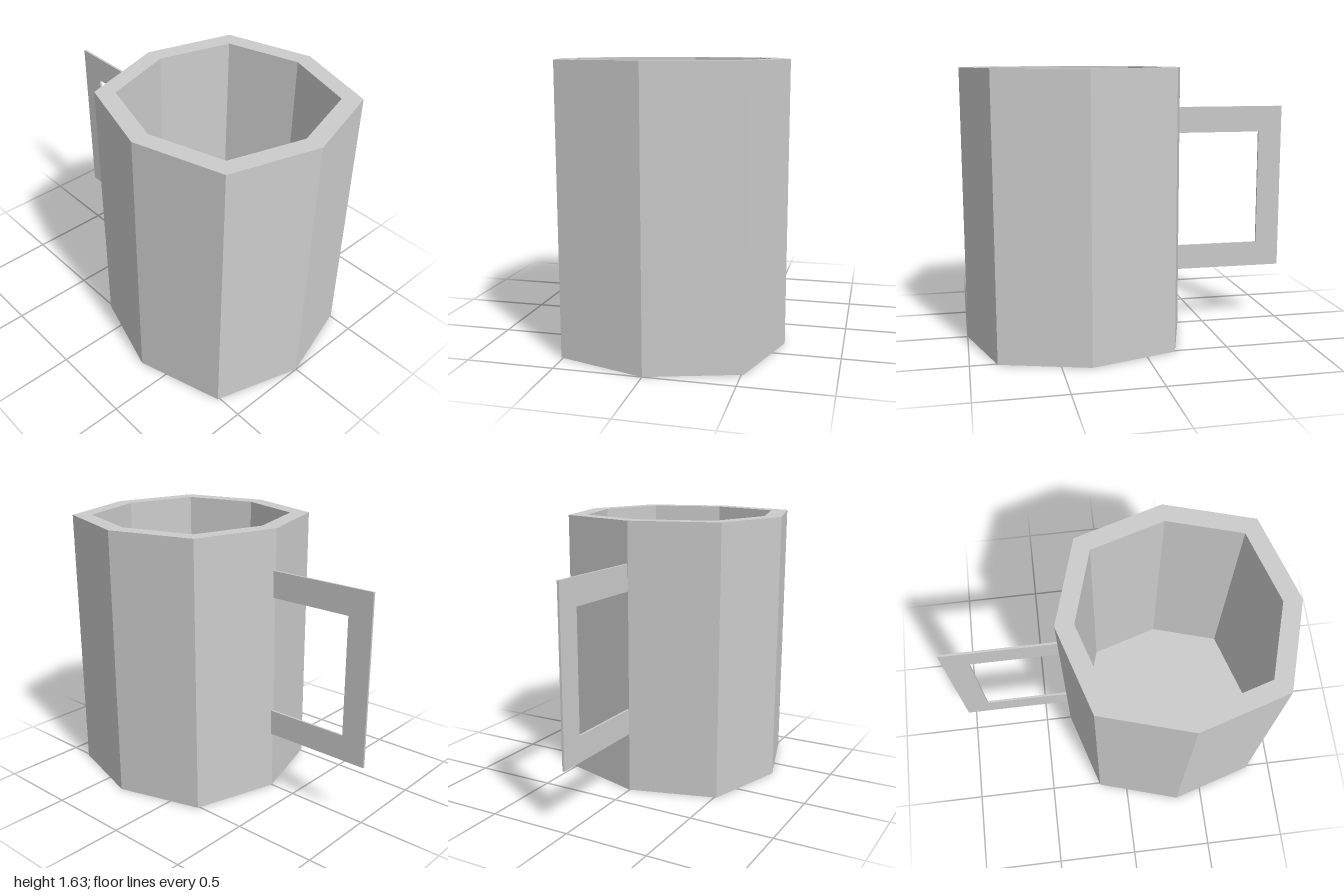
import * as THREE from 'three';

export function createModel() {
  const group = new THREE.Group();
  const material = new THREE.MeshStandardMaterial({ color: 0xcccccc, flatShading: true });

  // Eight-sided cup: outer wall, rim, inner wall and floor in one profile
  const H = 1.635, R = 0.667, r = 0.56, floor = 0.11;
  const profile = [[0, 0], [R, 0], [R, H], [r, H], [r, floor], [0, floor]]
    .map(([x, y]) => new THREE.Vector2(x, y));
  const cupGeometry = new THREE.LatheGeometry(profile, 8);

  // Push the four diagonal corners outwards
  const pos = cupGeometry.attributes.position;
  for (let i = 0; i < pos.count; i++) {
    const x = pos.getX(i), z = pos.getZ(i);
    if (Math.abs(x * z) > 1e-4) {
      pos.setX(i, x * 1.086);
      pos.setZ(i, z * 1.086);
    }
  }
  cupGeometry.computeVertexNormals();
  const cup = new THREE.Mesh(cupGeometry, material);
  cup.name = 'cup';
  cup.position.x = 0.333;
  group.add(cup);

  // Thin C-shaped handle, its ends set just inside the cup wall
  const outline = [
    [-0.32, 0.36], [-0.32, 0.515], [-0.85, 0.515], [-0.85, 1.23],
    [-0.32, 1.23], [-0.32, 1.39], [-1, 1.39], [-1, 0.36],
  ].map(([x, y]) => new THREE.Vector2(x, y));
  const handle = new THREE.Mesh(
    new THREE.ExtrudeGeometry(new THREE.Shape(outline), { depth: 0.013, bevelEnabled: false }),
    material
  );
  handle.name = 'handle';
  handle.position.z = -0.014;
  group.add(handle);

  return group;
}
